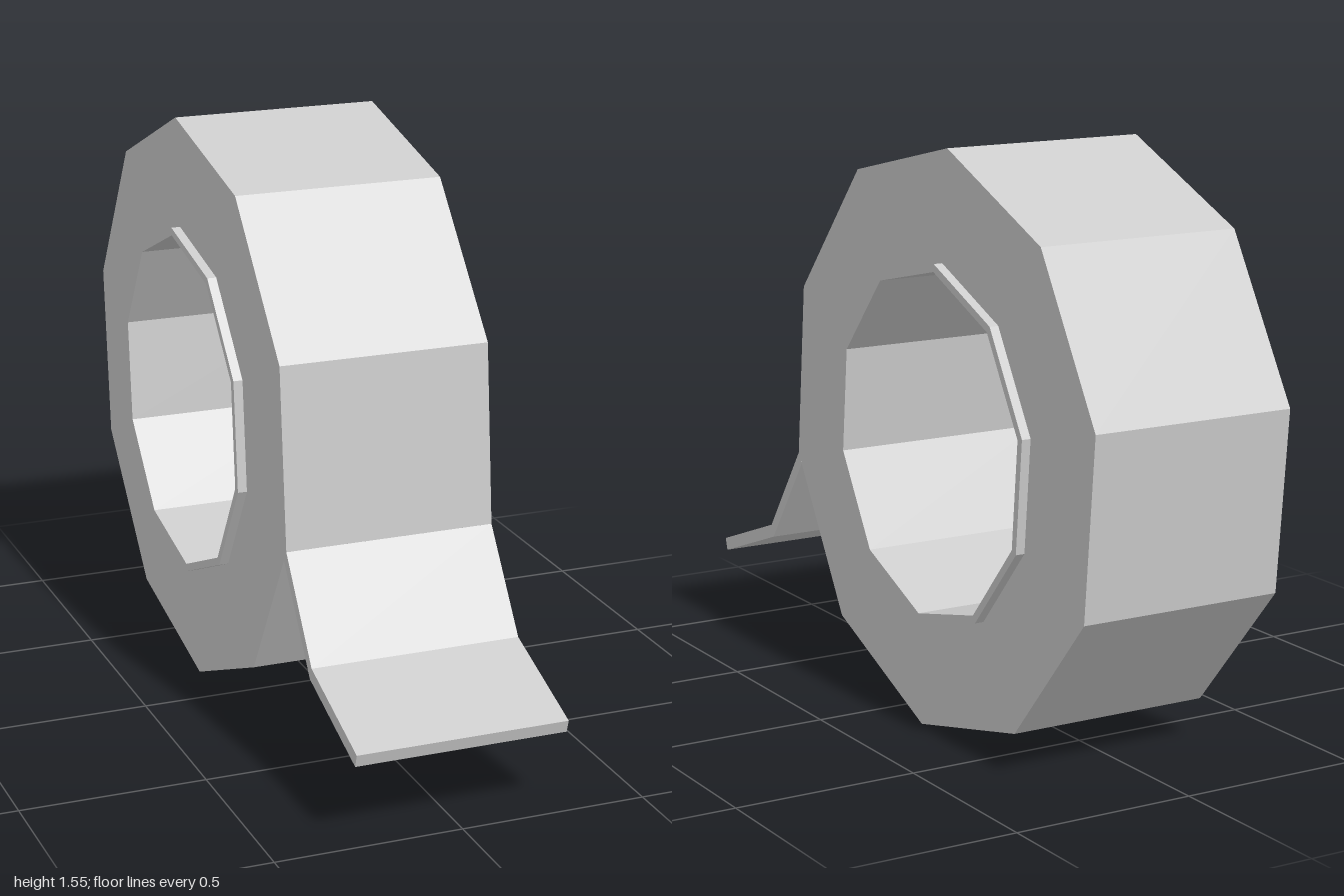
import * as THREE from 'three';

const CENTER_Z = -0.24, CENTER_Y = 0.777;
const SIDES = 10, START = THREE.MathUtils.degToRad(23.2);

// Ten-sided ring outline in the side plane, as (z, y) points
function decagon(radius) {
  return Array.from({ length: SIDES }, (_, i) => {
    const a = START + (i / SIDES) * Math.PI * 2;
    return new THREE.Vector2(CENTER_Z + radius * Math.cos(a), CENTER_Y + radius * Math.sin(a));
  });
}

function ring(outer, inner) {
  const shape = new THREE.Shape(decagon(outer));
  shape.holes.push(new THREE.Path(decagon(inner)));
  return shape;
}

// Extrude a (z, y) profile across the width, centred on x = 0
function part(name, shape, width, material) {
  const geometry = new THREE.ExtrudeGeometry(shape, { depth: width, bevelEnabled: false });
  geometry.translate(0, 0, -width / 2);
  geometry.rotateY(-Math.PI / 2);
  const mesh = new THREE.Mesh(geometry, material);
  mesh.name = name;
  return mesh;
}

export function createModel() {
  const group = new THREE.Group();
  group.name = 'tapeRoll';
  const material = new THREE.MeshStandardMaterial({ color: 0xcccccc, flatShading: true });

  // Wound tape
  group.add(part('woundTape', ring(0.78, 0.483), 0.57, material));

  // Core, slightly wider than the tape
  group.add(part('core', ring(0.483, 0.462), 0.62, material));

  // Loose end, leaving the roll at a corner and bending flatter
  const flap = new THREE.Shape([
    [0.52, 0.605], [0.504, 0.575], [0.685, 0.322], [0.99, 0.213], [1, 0.247], [0.697, 0.355],
  ].map(([z, y]) => new THREE.Vector2(z, y)));
  group.add(part('looseEnd', flap, 0.57, material));

  return group;
}
